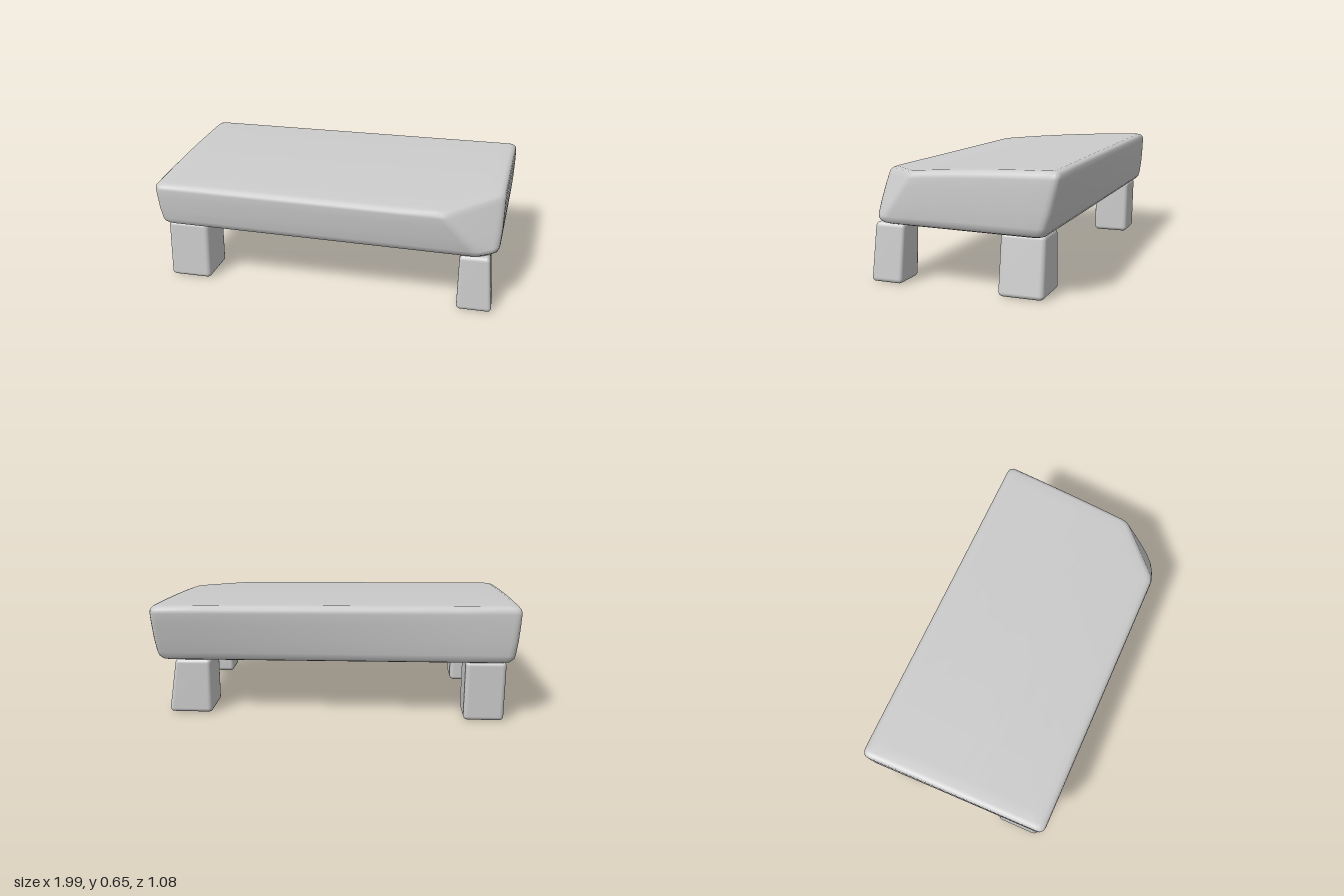
import * as THREE from 'three';
import { mergeVertices } from 'three/addons/utils/BufferGeometryUtils.js';
import { RoundedBoxGeometry } from 'three/addons/geometries/RoundedBoxGeometry.js';

const material = new THREE.MeshStandardMaterial({ color: 0xcccccc });
const lerp = THREE.MathUtils.lerp;

// Plan outlines [x, z] of the slab; one front corner is chipped off, more so at the top
const bottomPlan = [[-0.965, 0.505], [0.84, 0.51], [0.935, 0.44], [0.985, -0.475], [-0.98, -0.52]];
const topPlan = [[-0.985, 0.525], [0.65, 0.545], [0.945, 0.27], [0.995, -0.545], [-1, -0.535]];
// Gently sloping, slightly uneven upper and lower faces
const topY = (x, z) => 0.625 - 0.064 * z - 0.012 * z * z / 0.28 - 0.009 * x;
const bottomY = (x) => 0.325 - 0.013 * x;

// Closed ring with softened corners and subdivided edges
function ring(plan, radius) {
  const corners = plan.map(([x, z]) => new THREE.Vector2(x, z));
  const n = corners.length, points = [];
  const toward = (a, b) => a.clone().add(b.clone().sub(a).setLength(radius));
  for (let i = 0; i < n; i++) {
    const p = corners[i], next = corners[(i + 1) % n];
    const start = toward(p, corners[(i + n - 1) % n]), end = toward(p, next);
    points.push(...new THREE.QuadraticBezierCurve(start, p, end).getPoints(4));
    const edgeEnd = toward(next, p);
    for (let k = 1; k < 8; k++) points.push(end.clone().lerp(edgeEnd, k / 8));
  }
  return points;
}

function slabGeometry() {
  // [blend from bottom plan to top plan, height fraction, rim inset, overall scale]
  const levels = [
    [0, 0, 0.05, 0], [0, 0, 0.05, 0.5], [0, 0, 0.05, 0.9], [0, 0, 0.04, 1],
    [0, 0.025, 0.02, 1], [0.02, 0.08, 0.005, 1], [0.1, 0.16, 0, 1], [0.4, 0.4, -0.003, 1],
    [0.75, 0.7, -0.002, 1], [0.95, 0.87, 0, 1], [1, 0.94, 0.004, 1], [1, 0.98, 0.016, 1],
    [1, 1, 0.035, 1], [1, 1, 0.05, 0.95], [1, 1, 0.05, 0.7], [1, 1, 0.05, 0.4], [1, 1, 0.05, 0],
  ];
  const low = ring(bottomPlan, 0.045), high = ring(topPlan, 0.04), n = low.length;
  const positions = [], index = [];
  levels.forEach(([blend, h, inset, scale], row) => {
    for (let i = 0; i < n; i++) {
      const x = lerp(low[i].x, high[i].x, blend) * (1 - inset) * scale;
      const z = lerp(low[i].y, high[i].y, blend) * (1 - inset * 1.85) * scale;
      positions.push(x, lerp(bottomY(x), topY(x, z), h), z);
      if (row === levels.length - 1) continue;
      const a = row * n + i, b = row * n + (i + 1) % n;
      index.push(a, b, b + n, a, b + n, a + n);
    }
  });
  const geometry = new THREE.BufferGeometry();
  geometry.setAttribute('position', new THREE.Float32BufferAttribute(positions, 3));
  geometry.setIndex(index);
  const merged = mergeVertices(geometry, 1e-5);
  merged.computeVertexNormals();
  return merged;
}

// Rough block leg; foot and head are [xMin, xMax, zMin, zMax]
function legGeometry(foot, head, height) {
  const rounded = new RoundedBoxGeometry(0.22, height, 0.22, 4, 0.025);
  rounded.deleteAttribute('normal');
  rounded.deleteAttribute('uv');
  const geometry = mergeVertices(rounded, 1e-4);
  const p = geometry.attributes.position;
  for (let i = 0; i < p.count; i++) {
    const u = p.getX(i) / 0.22 + 0.5, v = p.getY(i) / height + 0.5, w = p.getZ(i) / 0.22 + 0.5;
    const r = foot.map((f, k) => lerp(f, head[k], v));
    p.setXYZ(i, lerp(r[0], r[1], u), v * height, lerp(r[2], r[3], w));
  }
  geometry.computeVertexNormals();
  return geometry;
}

export function createModel() {
  const model = new THREE.Group();
  model.name = 'stoneTable';
  const add = (name, geometry) => {
    const mesh = new THREE.Mesh(geometry, material);
    mesh.name = name;
    model.add(mesh);
  };
  add('slab', slabGeometry());

  // Four legs, each a little different
  add('frontLeftLeg', legGeometry([0.73, 0.92, 0.33, 0.51], [0.73, 0.89, 0.32, 0.49], 0.315));
  add('backLeftLeg', legGeometry([0.69, 0.94, -0.45, -0.21], [0.69, 0.89, -0.445, -0.21], 0.315));
  add('frontRightLeg', legGeometry([-0.95, -0.705, 0.225, 0.48], [-0.95, -0.705, 0.215, 0.46], 0.34));
  add('backRightLeg', legGeometry([-0.94, -0.72, -0.48, -0.26], [-0.94, -0.72, -0.485, -0.26], 0.34));
  return model;
}
